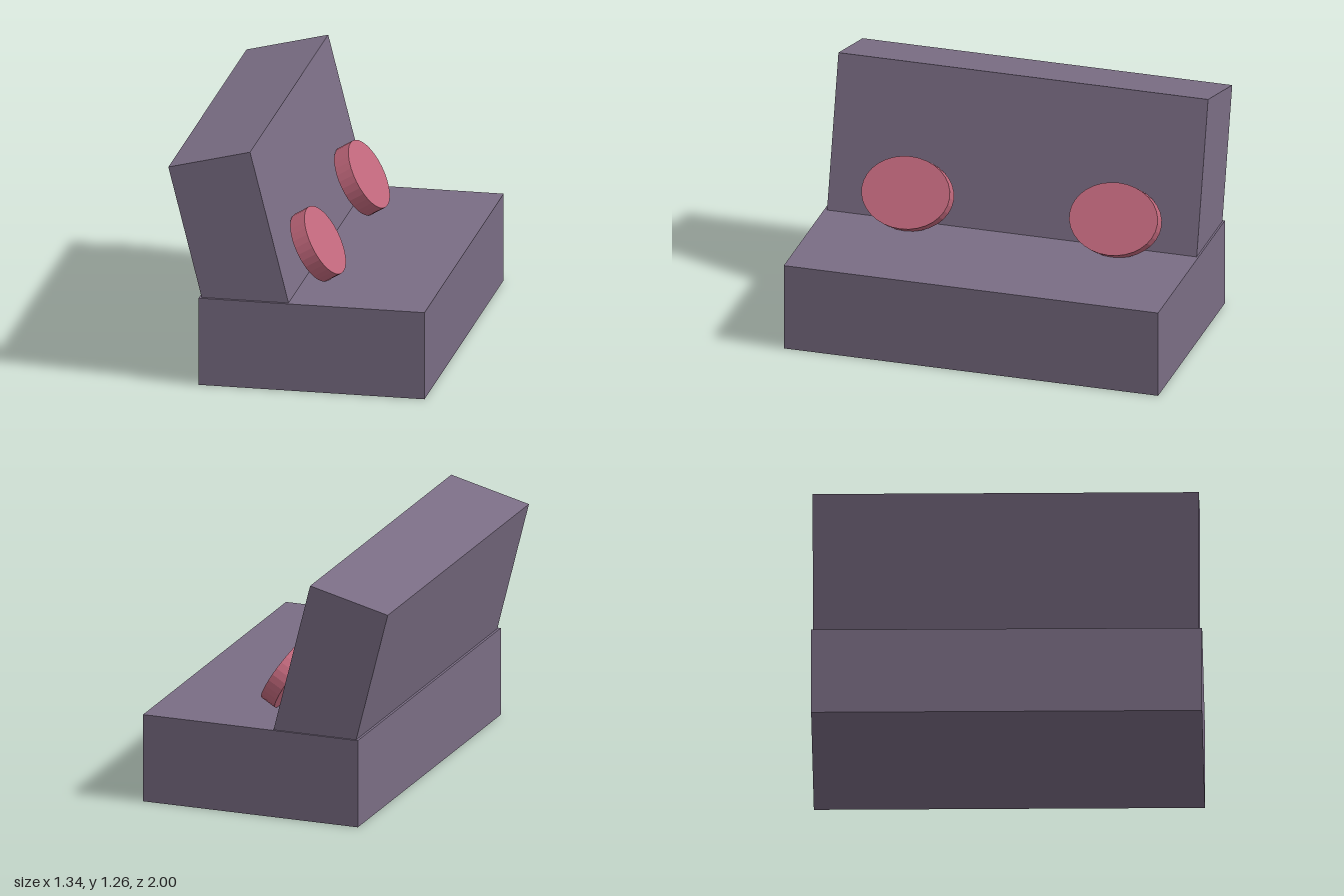
import * as THREE from 'three';

export function createModel() {
  const model = new THREE.Group();
  model.name = 'sofa';

  const fabric = new THREE.MeshStandardMaterial({ color: 0x7a6d84, flatShading: true });
  fabric.name = 'mauve fabric';
  const rose = new THREE.MeshStandardMaterial({ color: 0xc1687c, flatShading: true });
  rose.name = 'rose cushion';

  const add = (name, geometry, material, position, tilt = 0) => {
    const mesh = new THREE.Mesh(geometry, material);
    mesh.name = name;
    mesh.position.set(...position);
    mesh.rotation.z = tilt;
    model.add(mesh);
    return mesh;
  };

  // Seat block, facing +x
  add('seat', new THREE.BoxGeometry(1.18, 0.466, 2), fabric, [0.08, 0.233, 0]);

  // Leaning backrest, its lower end sunk into the seat
  const lean = 0.247, backHeight = 1;
  const back = new THREE.BoxGeometry(0.44, backHeight, 1.975);
  back.translate(0, -backHeight / 2, 0); // pivot at the top edge
  add('backrest', back, fabric, [-0.4575, 1.21, -0.003], lean);

  // Oval cushions propped against the backrest
  for (const [name, z] of [['leftCushion', 0.535], ['rightCushion', -0.575]]) {
    const cushion = new THREE.CylinderGeometry(1, 1, 0.087, 32);
    cushion.scale(0.1885, 1, 0.235);
    add(name, cushion, rose, [0.018, 0.645, z], -1.03);
  }

  return model;
}
